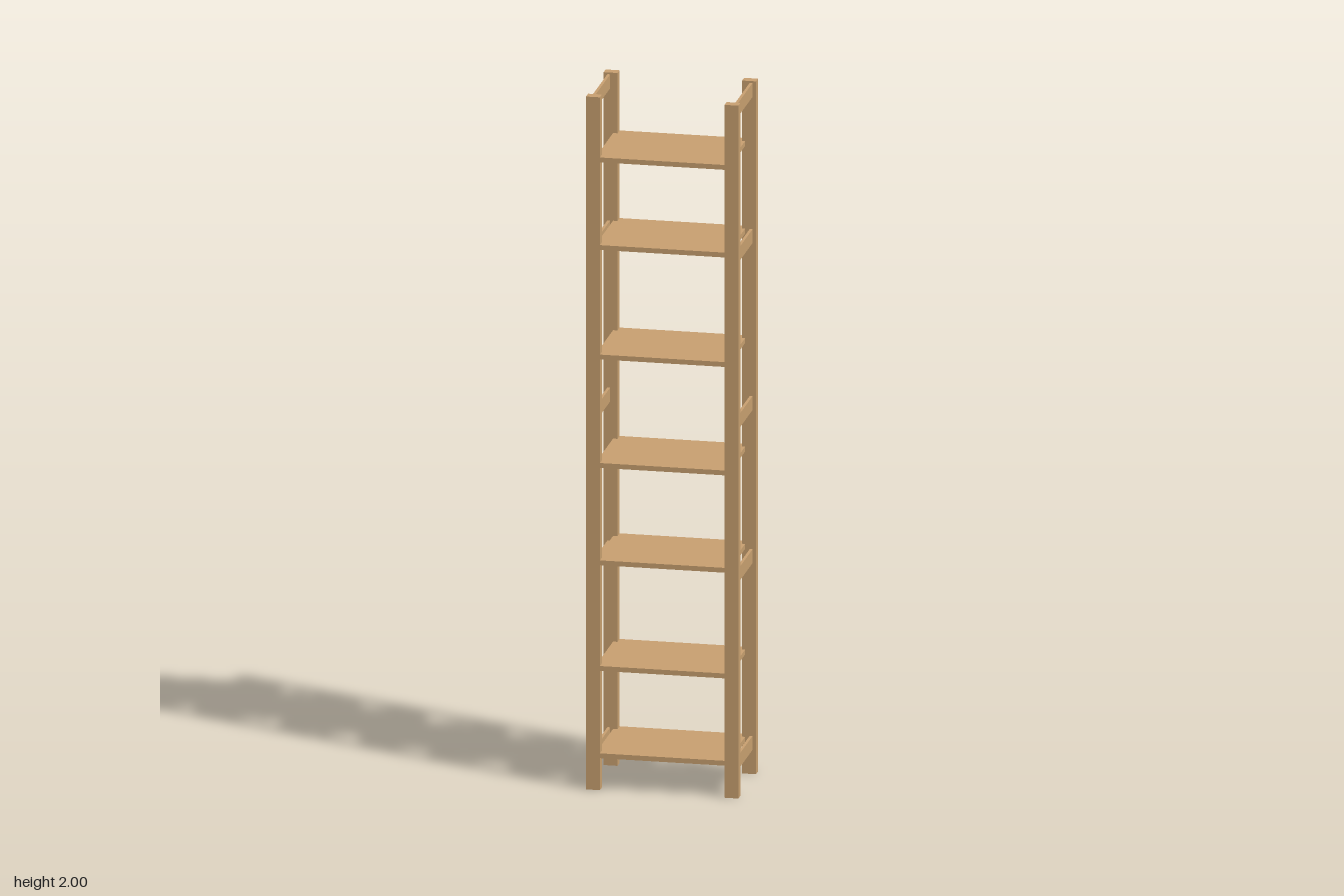
import * as THREE from 'three';

export function createModel() {
  const model = new THREE.Group();
  model.name = 'shelfUnit';
  const wood = new THREE.MeshStandardMaterial({ color: 0xc8a070 });
  wood.name = 'light wood';

  // Box placed by its lower and upper corners
  const addBox = (name, [x0, y0, z0], [x1, y1, z1]) => {
    const mesh = new THREE.Mesh(new THREE.BoxGeometry(x1 - x0, y1 - y0, z1 - z0), wood);
    mesh.name = name;
    mesh.position.set((x0 + x1) / 2, (y0 + y1) / 2, (z0 + z1) / 2);
    model.add(mesh);
  };

  // Four corner posts and the rails joining each side pair
  const railCentres = [0.09, 0.629, 1.071, 1.553, 1.975];
  for (const [side, x] of [['left', 0.195], ['right', -0.196]]) {
    addBox(side + 'FrontPost', [x - 0.0195, 0, 0.104], [x + 0.0195, 2, 0.132]);
    addBox(side + 'BackPost', [x - 0.0195, 0, -0.133], [x + 0.0195, 2, -0.106]);
    const railX = Math.sign(x) * 0.201;
    railCentres.forEach((y, i) =>
      addBox(side + 'Rail' + (i + 1), [railX - 0.004, y - 0.02, -0.106], [railX + 0.004, y + 0.02, 0.104]));
  }

  // Seven thin shelves
  const shelfTops = [0.106, 0.358, 0.663, 0.944, 1.257, 1.573, 1.826];
  shelfTops.forEach((y, i) =>
    addBox('shelf' + (i + 1), [-0.189, y - 0.014, -0.1345], [0.184, y, 0.1305]));

  return model;
}
